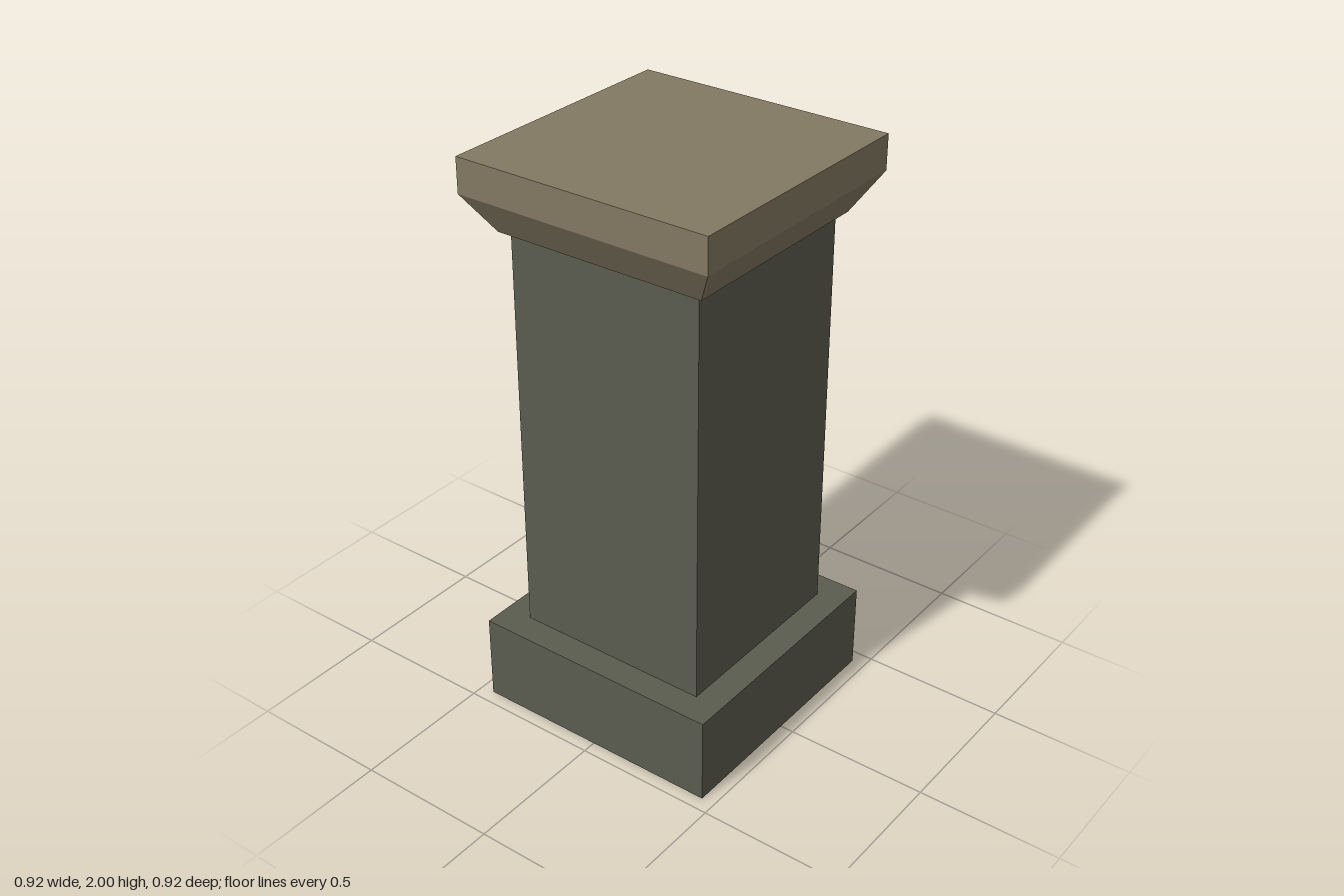
import * as THREE from 'three';

// Square solid swept from a profile of [half width, height] points, bottom to top
function squareLathe(profile) {
  const points = profile.map(([half, y]) => new THREE.Vector2(half * Math.SQRT2, y));
  const geometry = new THREE.LatheGeometry(points, 4, Math.PI / 4).toNonIndexed();
  geometry.computeVertexNormals(); // flat faces
  return geometry;
}

// Square block between two heights
function block(half, y0, y1) {
  return new THREE.BoxGeometry(half * 2, y1 - y0, half * 2).translate(0, (y0 + y1) / 2, 0);
}

export function createModel() {
  const group = new THREE.Group();
  group.name = 'pillar';

  const greyStone = new THREE.MeshStandardMaterial({ color: 0x5b5c4f });
  greyStone.name = 'greyStone';
  const sandStone = new THREE.MeshStandardMaterial({ color: 0x827961 });
  sandStone.name = 'sandStone';

  const add = (name, geometry, material) => {
    const mesh = new THREE.Mesh(geometry, material);
    mesh.name = name;
    group.add(mesh);
  };

  // Plinth and shaft
  add('base', block(0.452, 0, 0.307), greyStone);
  add('shaft', block(0.353, 0.307, 1.75), greyStone);

  // Capital: flared underside below a square slab
  add('capital', squareLathe([[0, 1.75], [0.38, 1.75], [0.46, 1.88], [0.46, 2], [0, 2]]), sandStone);

  return group;
}
